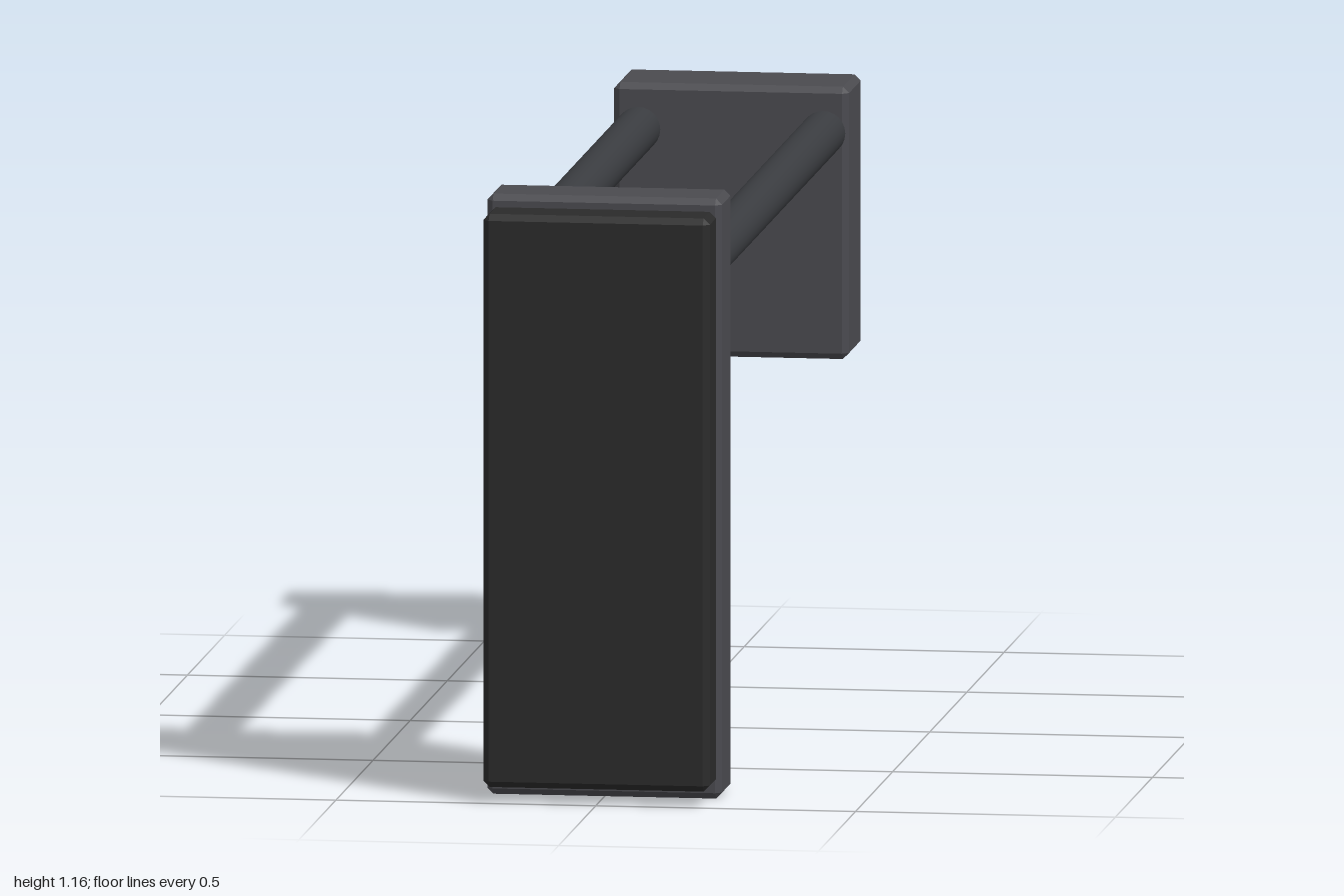
import * as THREE from 'three';
import { ConvexGeometry } from 'three/addons/geometries/ConvexGeometry.js';
import { toCreasedNormals } from 'three/addons/utils/BufferGeometryUtils.js';

const frameMat = new THREE.MeshStandardMaterial({ color: 0x4a4a4f });
const padMat = new THREE.MeshStandardMaterial({ color: 0x2a2a2a });
const rodMat = new THREE.MeshStandardMaterial({ color: 0x3a3c40 });

// Box with all edges chamfered by c: three points per corner
function chamferBox(w, h, d, c) {
  const points = [];
  for (const sx of [-1, 1]) for (const sy of [-1, 1]) for (const sz of [-1, 1]) {
    for (let axis = 0; axis < 3; axis++) {
      const inset = [c, c, c];
      inset[axis] = 0;
      points.push(new THREE.Vector3(
        sx * (w / 2 - inset[0]), sy * (h / 2 - inset[1]), sz * (d / 2 - inset[2])));
    }
  }
  return new ConvexGeometry(points);
}

// Chamfered block, centred on x, spanning y0..y1 and z0..z1
function block(name, width, y0, y1, z0, z1, material) {
  const mesh = new THREE.Mesh(chamferBox(width, y1 - y0, z1 - z0, 0.012), material);
  mesh.name = name;
  mesh.position.set(0, (y0 + y1) / 2, (z0 + z1) / 2);
  return mesh;
}

export function createModel() {
  const group = new THREE.Group();
  group.name = 'paddedBracket';

  // Front pad, its backing plate and the rear block
  group.add(
    block('frontPad', 0.436, 0.03, 1.135, 0.893, 1, padMat),
    block('backingPlate', 0.452, 0, 1.157, 0.755, 0.89, frameMat),
    block('rearBlock', 0.452, 0.585, 1.11, -1, -0.82, frameMat));

  // Pair of rods with bevelled ends
  const r = 0.0425, c = 0.011, half = 0.793;
  const profile = [[0, -half], [r - c, -half], [r, -half + c], [r, half - c], [r - c, half], [0, half]]
    .map(([x, y]) => new THREE.Vector2(x, y));
  const rodGeo = toCreasedNormals(new THREE.LatheGeometry(profile, 24), 0.6);
  rodGeo.rotateX(Math.PI / 2);
  for (const side of [-1, 1]) {
    const rod = new THREE.Mesh(rodGeo, rodMat);
    rod.name = side > 0 ? 'leftRod' : 'rightRod';
    rod.position.set(side * 0.178, 1.022, -0.037);
    group.add(rod);
  }
  return group;
}
